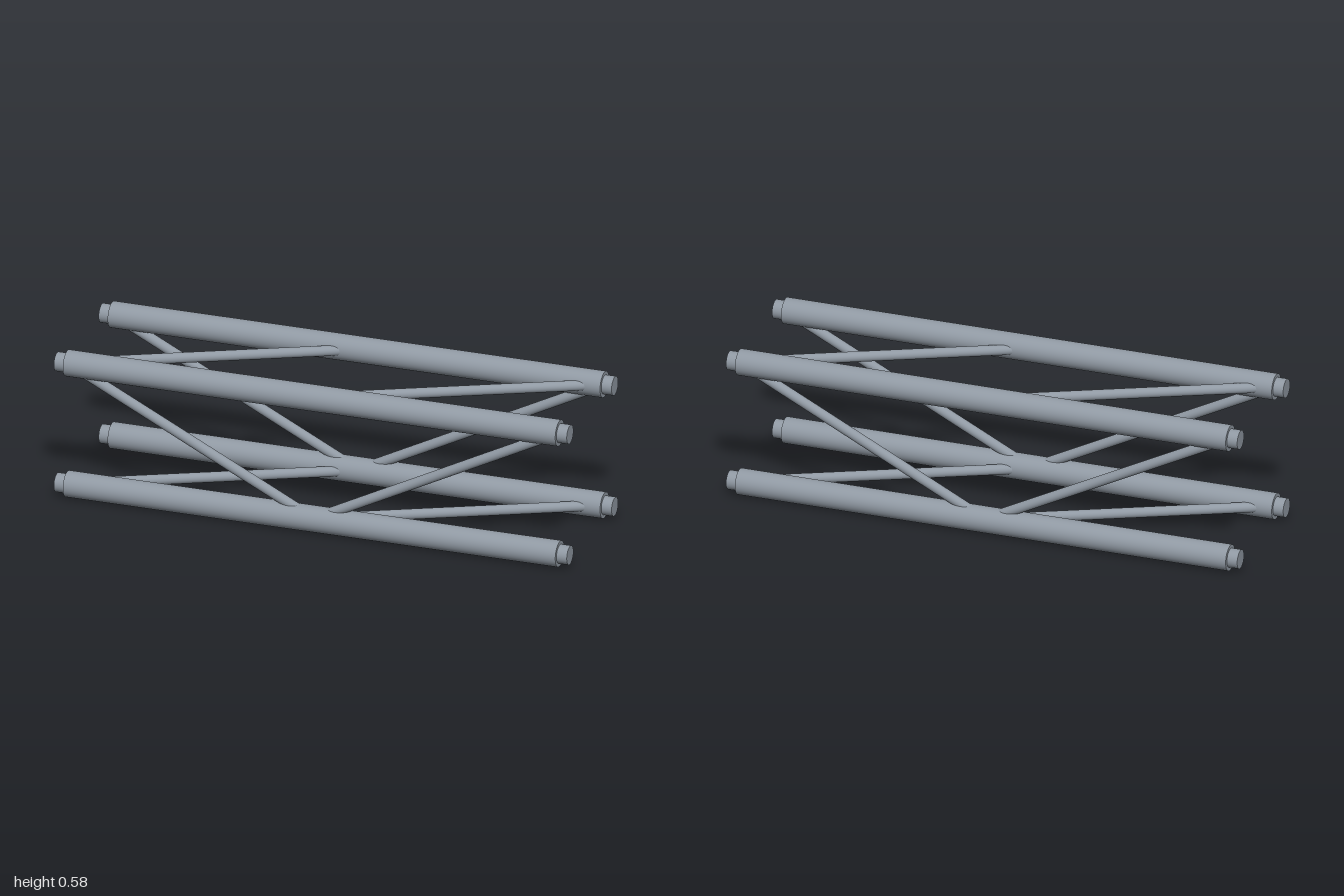
import * as THREE from 'three';

export function createModel() {
  const group = new THREE.Group();
  group.name = 'boxTruss';
  const steel = new THREE.MeshStandardMaterial({ color: 0x9099a3 });
  steel.name = 'steelGrey';

  const low = 0.0495, high = 0.531, side = 0.241; // chord axes
  const reach = 0.955; // outer brace node

  // Round bar between two points
  function bar(name, a, b, radius, segments) {
    const from = new THREE.Vector3(...a), to = new THREE.Vector3(...b);
    const dir = to.clone().sub(from);
    const mesh = new THREE.Mesh(
      new THREE.CylinderGeometry(radius, radius, dir.length(), segments), steel);
    mesh.name = name;
    mesh.position.copy(from).lerp(to, 0.5);
    mesh.quaternion.setFromUnitVectors(new THREE.Vector3(0, 1, 0), dir.normalize());
    group.add(mesh);
  }

  // Four main tubes with a narrower spigot at each end
  for (const y of [low, high]) {
    for (const z of [-side, side]) {
      bar('chord', [-0.96, y, z], [0.96, y, z], 0.0495, 48);
      for (const s of [-1, 1]) bar('endSpigot', [s * 0.95, y, z], [s, y, z], 0.036, 48);
    }
  }

  // V braces on the front and back faces
  for (const z of [-side, side]) {
    for (const s of [-1, 1]) bar('sideBrace', [s * reach, high, z], [0, low, z], 0.0195, 32);
  }

  // Parallel diagonals on the top and bottom faces
  for (const y of [low, high]) {
    bar('crossBrace', [-reach, y, side], [0, y, -side], 0.0195, 32);
    bar('crossBrace', [0, y, side], [reach, y, -side], 0.0195, 32);
  }
  return group;
}
